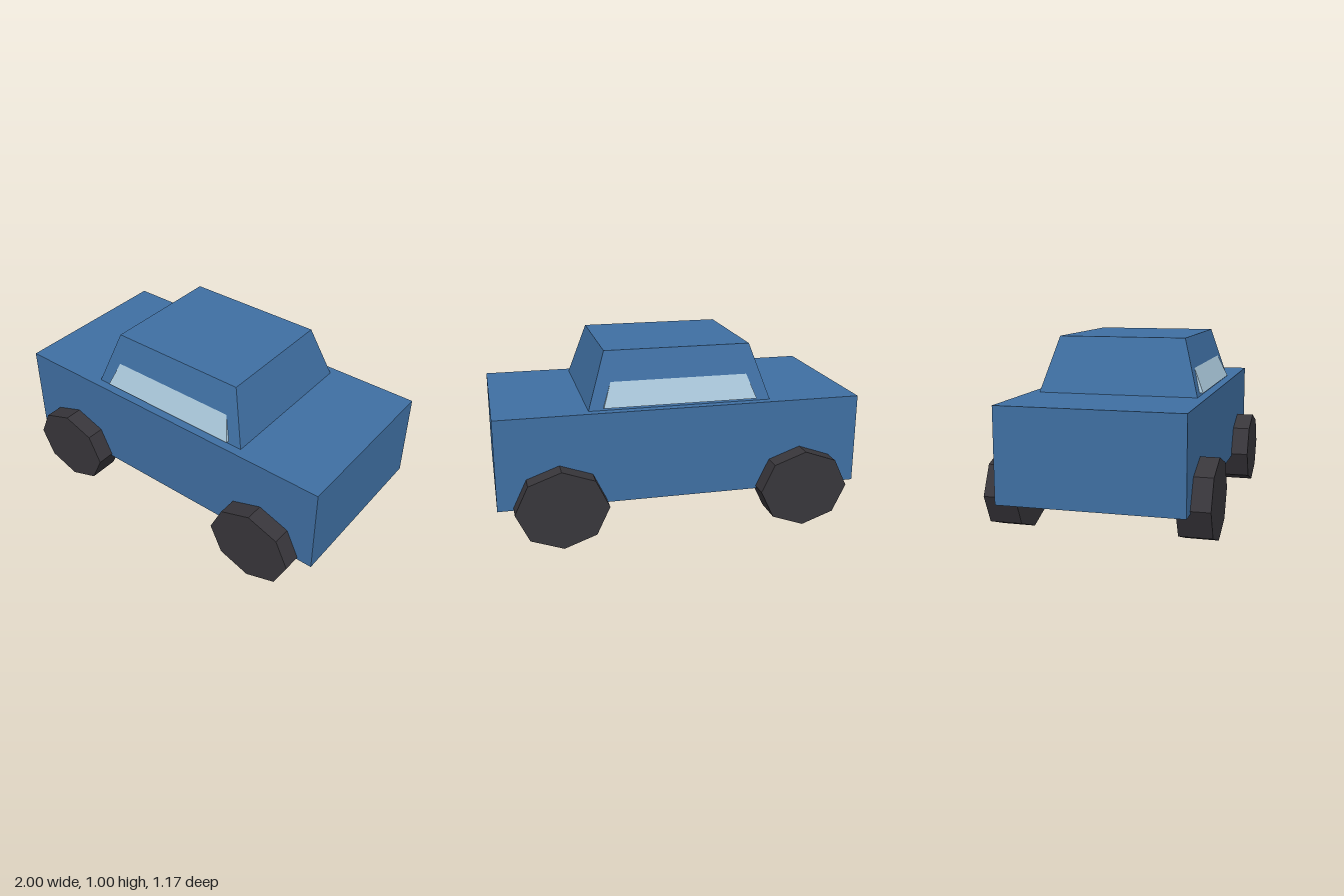
import * as THREE from 'three';

// Box from y0 to y1 whose top is narrowed to its own half-width and half-depth.
function taperedBox(y0, y1, bottomX, bottomZ, topX, topZ) {
  const geometry = new THREE.BoxGeometry(2, 1, 2);
  const p = geometry.attributes.position;
  for (let i = 0; i < p.count; i++) {
    const top = p.getY(i) > 0;
    p.setXYZ(
      i,
      p.getX(i) * (top ? topX : bottomX),
      top ? y1 : y0,
      p.getZ(i) * (top ? topZ : bottomZ)
    );
  }
  geometry.computeVertexNormals();
  return geometry;
}

export function createModel() {
  const model = new THREE.Group();
  model.name = 'car';

  const material = (name, color) => {
    const m = new THREE.MeshStandardMaterial({ color, flatShading: true });
    m.name = name;
    return m;
  };
  const paint = material('blue paint', 0x3f6fa2);
  const glass = material('pale glass', 0xa8c5d8);
  const rubber = material('dark rubber', 0x38363b);

  const add = (name, geometry, mat) => {
    const mesh = new THREE.Mesh(geometry, mat);
    mesh.name = name;
    model.add(mesh);
    return mesh;
  };

  // Lower body and tapered cabin
  add('body', taperedBox(0.2, 0.7, 1, 0.484, 1, 0.484), paint);
  add('cabin', taperedBox(0.7, 1, 0.5, 0.435, 0.4, 0.348), paint);

  // One glass block passes through the cabin and shows as a window on each side
  add('windows', taperedBox(0.714, 0.964, 0.42, 0.45, 0.33, 0.34), glass);

  // Eight-sided wheels, slightly flattened, with a corner at the top
  const wheel = new THREE.CylinderGeometry(1, 1, 0.173, 8);
  wheel.rotateX(Math.PI / 2);
  wheel.scale(0.248, 0.215, 1);
  for (const x of [-1, 1]) {
    for (const z of [-1, 1]) {
      const name = (z > 0 ? 'front' : 'back') + (x > 0 ? 'Left' : 'Right') + 'Wheel';
      add(name, wheel, rubber).position.set(x * 0.667, 0.215, z * 0.498);
    }
  }

  return model;
}
